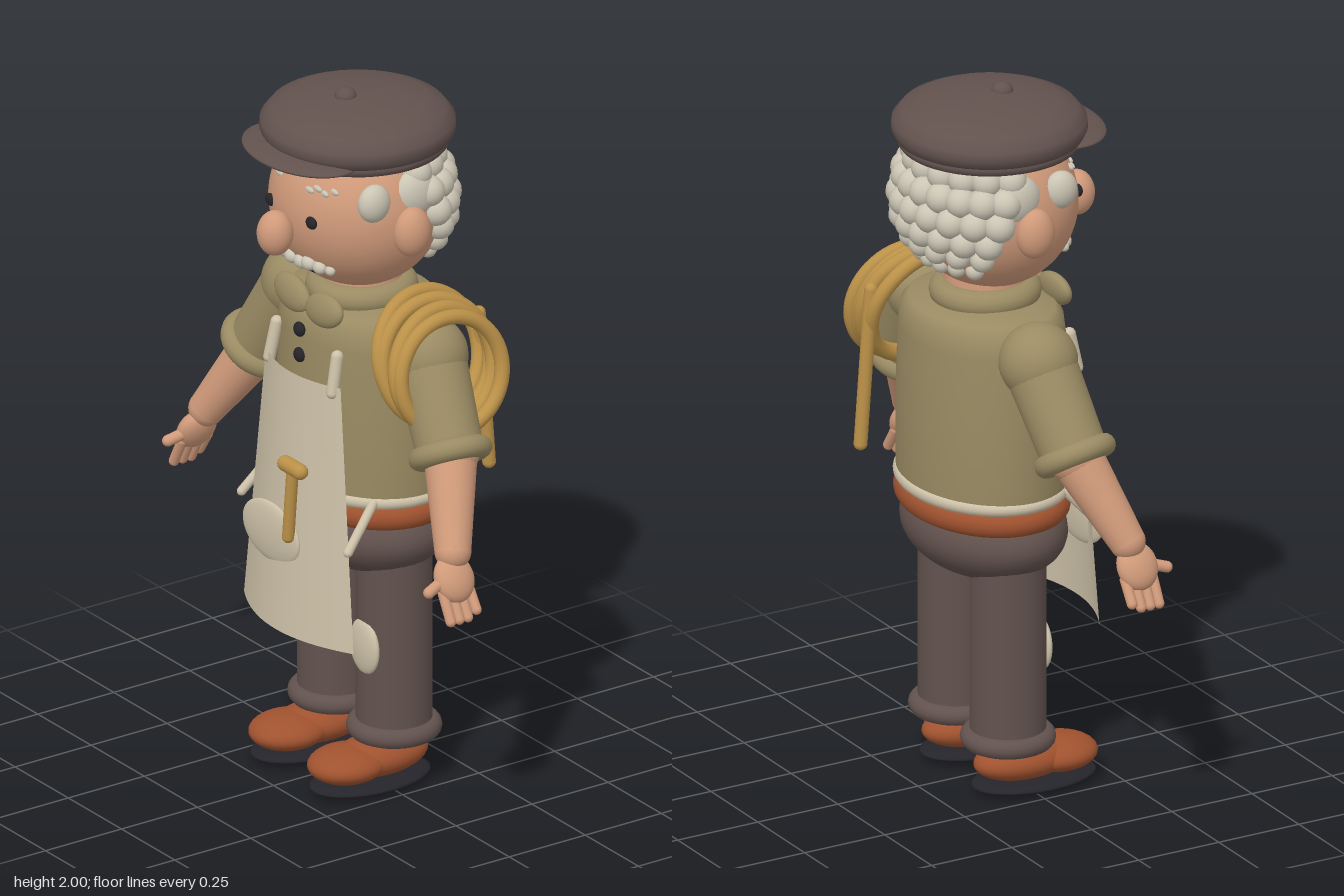
import * as THREE from 'three';

const mat = (name, color) => {
  const m = new THREE.MeshStandardMaterial({ color });
  m.name = name;
  return m;
};
const skin = mat('skin', 0xd09a7a), olive = mat('oliveShirt', 0x9a8b63), brown = mat('darkBrownCloth', 0x62524e),
  cream = mat('creamCloth', 0xcdc1a8), hair = mat('greyHair', 0xcbc5b4), leather = mat('leather', 0xa0522f),
  rope = mat('rope', 0xbb9148), dark = mat('dark', 0x25242a), sheet = mat('apronCloth', 0xcdc1a8);
sheet.side = THREE.DoubleSide;

const V = (x, y, z) => new THREE.Vector3(x, y, z);

export function createModel() {
  const root = new THREE.Group();
  root.name = 'craftsman';

  function add(name, geo, material, p = [0, 0, 0], parent = root) {
    const m = new THREE.Mesh(geo, material);
    m.name = name;
    m.position.set(...p);
    parent.add(m);
    return m;
  }
  // ellipsoid with centre and half sizes
  function ball(name, material, p, r, seg = 28) {
    const m = add(name, new THREE.SphereGeometry(1, seg, Math.ceil(seg * 0.7)), material, p);
    m.scale.set(...r);
    return m;
  }
  // horizontal ring, z radius scaled by sz
  function ring(name, material, p, r, tube, sz = 1) {
    const g = new THREE.TorusGeometry(r, tube, 14, 48).rotateX(Math.PI / 2).scale(1, 1, sz);
    return add(name, g, material, p);
  }
  // rounded rod, or tapered limb when r2 is given, between two points
  function rod(name, material, a, b, r, r2) {
    const A = V(...a), B = V(...b), d = B.clone().sub(A), len = d.length();
    const g = r2 === undefined ? new THREE.CapsuleGeometry(r, len, 8, 16)
      : new THREE.CylinderGeometry(r2, r, len, 28);
    const m = add(name, g, material, A.add(B).multiplyScalar(0.5).toArray());
    m.quaternion.setFromUnitVectors(V(0, 1, 0), d.normalize());
    return m;
  }
  function lathe(name, material, pts, p, sz = 1) {
    const g = new THREE.LatheGeometry(pts.map(q => new THREE.Vector2(...q)), 48);
    return add(name, g.scale(1, 1, sz), material, p);
  }

  // trunk
  lathe('torso', olive, [[0.265, 0.8], [0.277, 0.88], [0.277, 1.1], [0.27, 1.3], [0.262, 1.355],
    [0.235, 1.382], [0.14, 1.4], [0, 1.405]], [0, 0, -0.05], 0.78);
  ball('hips', brown, [0, 0.735, -0.045], [0.28, 0.14, 0.207], 36);
  ring('belt', leather, [0, 0.82, -0.05], 0.25, 0.038, 0.77);
  ring('apronWaistTie', cream, [0, 0.868, -0.05], 0.265, 0.019, 0.79);
  add('neck', new THREE.CylinderGeometry(0.11, 0.12, 0.12, 28), skin, [0, 1.42, -0.04]);
  ring('collar', olive, [0, 1.41, -0.04], 0.115, 0.038);
  for (const y of [1.325, 1.25]) ball('shirtButton', dark, [0, y, 0.165], [0.021, 0.021, 0.014], 16);

  // head and face
  const hc = [0, 1.67, -0.025], hr = [0.25, 0.24, 0.235];
  ball('head', skin, hc, hr, 48);
  ball('nose', skin, [0, 1.63, 0.245], [0.05, 0.064, 0.05]);
  // z of the face surface at x, y
  const faceZ = (x, y) => hc[2] + hr[2] * Math.sqrt(1 - (x / hr[0]) ** 2 - ((y - hc[1]) / hr[1]) ** 2);
  const mouth = new THREE.CatmullRomCurve3([-0.055, -0.025, 0, 0.025, 0.055].map(x => V(x, 1.508, faceZ(x, 1.508))));
  add('mouth', new THREE.TubeGeometry(mouth, 16, 0.006, 8), dark);
  for (const s of [-1, 1]) {
    ball('ear', skin, [s * 0.25, 1.655, -0.03], [0.045, 0.071, 0.055]);
    ball('eye', dark, [s * 0.095, 1.68, faceZ(0.095, 1.68)], [0.021, 0.018, 0.012], 18);
    for (let i = 0; i < 4; i++) {
      const x = s * (0.068 + i * 0.022), y = 1.765 + (i % 2) * 0.008;
      ball('eyebrow', hair, [x, y, faceZ(x, y) - 0.002], [0.02, 0.009, 0.007], 12);
    }
    [[0.022, 1.537, 0.024], [0.055, 1.543, 0.025], [0.085, 1.537, 0.023], [0.11, 1.532, 0.017]].forEach(([x, y, r]) =>
      ball('moustache', hair, [s * x, y, faceZ(x, y) + 0.004], [r, r * 0.85, r * 0.8], 18));
    ball('sideburn', hair, [s * 0.215, 1.75, 0.07], [0.036, 0.054, 0.048], 22);
    ball('sideCurl', hair, [s * 0.21, 1.745, -0.065], [0.045, 0.07, 0.07], 22);
  }

  // curls over the back of the head: height, angle range, count, size, lift
  [[1.80, 1.3, 9, 0.043, 1.0], [1.745, 1.2, 10, 0.044, 1.0], [1.685, 1.12, 9, 0.044, 1.0],
    [1.63, 1.0, 8, 0.041, 1.0], [1.58, 0.92, 7, 0.034, 0.99], [1.535, 0.8, 7, 0.026, 0.97]].forEach(([y, range, n, r, lift]) => {
    const k = Math.sqrt(1 - ((y - hc[1]) / hr[1]) ** 2) * lift;
    for (let i = 0; i < n; i++) {
      const a = -range + 2 * range * i / (n - 1);
      ball('hairCurl', hair, [Math.sin(a) * hr[0] * k, y, hc[2] - Math.cos(a) * hr[2] * k], [r, r, r], 16);
    }
  });

  // cap
  lathe('cap', brown, [[0, 1.845], [0.235, 1.846], [0.255, 1.857], [0.266, 1.88], [0.264, 1.905], [0.24, 1.935],
    [0.19, 1.957], [0.1, 1.973], [0, 1.978]], [0, 0, -0.027]);
  ring('capBand', brown, [0, 1.848, -0.027], 0.23, 0.02);
  ball('capBrim', brown, [0, 1.853, 0.155], [0.205, 0.022, 0.14], 36);
  ball('capButton', brown, [0, 1.975, 0.013], [0.03, 0.025, 0.03], 18);

  // apron: wider towards the hem, bowed forward in the middle
  const ag = new THREE.PlaneGeometry(2, 1, 20, 16), ap = ag.attributes.position;
  const apronZ = (u, t) => 0.198 + 0.045 * t - (0.046 + 0.03 * t) * u * u;
  for (let i = 0; i < ap.count; i++) {
    const u = ap.getX(i), t = 0.5 - ap.getY(i);
    ap.setXYZ(i, u * (0.175 + 0.082 * t), 1.21 - 0.75 * t, apronZ(u, t));
  }
  ag.computeVertexNormals();
  add('apron', ag, sheet);
  ball('apronPocket', cream, [-0.05, 0.725, 0.222], [0.132, 0.086, 0.018], 36);
  rod('hammerHandle', rope, [0.052, 0.75, 0.238], [0.072, 0.95, 0.238], 0.017);
  rod('hammerHead', rope, [0.038, 0.962, 0.238], [0.108, 0.962, 0.238], 0.022);

  for (const s of [-1, 1]) {
    rod('apronStrap', cream, [s * 0.148, 1.19, 0.16], [s * 0.142, 1.29, 0.14], 0.017);
    rod('apronTie', cream, [s * 0.225, 0.87, 0.08], [s * 0.25, 0.76, 0.18], 0.013);
    const flap = ball('collarFlap', olive, [s * 0.075, 1.4, 0.135], [0.08, 0.047, 0.026]);
    flap.rotation.set(-0.2, 0, s * 0.15);

    // leg and shoe
    const x = s * 0.138;
    add('trouserLeg', new THREE.CylinderGeometry(0.104, 0.104, 0.57, 36), brown, [x, 0.425, -0.05]);
    ring('trouserCuff', brown, [x, 0.157, -0.05], 0.102, 0.028);
    ball('kneePatch', cream, [x, 0.41, 0.047], [0.064, 0.08, 0.02]);
    ball('shoe', leather, [x, 0.083, 0.0], [0.088, 0.055, 0.15]);
    ball('shoeToe', leather, [x, 0.08, 0.105], [0.1, 0.048, 0.112]);
    ball('sole', dark, [x, 0.022, 0.03], [0.112, 0.022, 0.185]);

    // arm
    const sh = [s * 0.3, 1.305, -0.05], el = [s * 0.445, 1.075, -0.02], wr = [s * 0.578, 0.855, 0.065];
    ball('shoulder', olive, sh, [0.108, 0.108, 0.108]);
    rod('sleeve', olive, sh, el, 0.1, 0.092);
    const cuff = add('sleeveCuff', new THREE.TorusGeometry(0.085, 0.031, 14, 40), olive, el);
    cuff.quaternion.setFromUnitVectors(V(0, 0, 1), V(...el).sub(V(...sh)).normalize());
    ball('elbow', skin, el, [0.078, 0.078, 0.078]);
    rod('forearm', skin, el, wr, 0.074, 0.05);
    ball('wrist', skin, wr, [0.05, 0.05, 0.05]);

    // hand
    const palm = ball('palm', skin, [s * 0.605, 0.79, 0.08], [0.036, 0.068, 0.06]);
    palm.rotation.z = s * 0.5;
    for (let i = 0; i < 4; i++) {
      const z = 0.038 + i * 0.028, tip = 0.688 + (i === 0 ? 0.015 : 0);
      rod('finger', skin, [s * 0.612, 0.76, z], [s * 0.65, tip, z], 0.0145);
    }
    rod('thumb', skin, [s * 0.6, 0.79, 0.11], [s * 0.613, 0.772, 0.168], 0.016);
  }

  // rope coil over the left shoulder, with a hanging end
  [[0.258, 0.33, 0.1], [0.293, 0.28, -0.06], [0.33, 0.23, 0.05], [0.365, 0.18, -0.05]].forEach(([x, tilt, turn], i) => {
    const loop = add('ropeLoop', new THREE.TorusGeometry(0.172 - i * 0.004, 0.021, 12, 56), rope,
      [x, 1.285 - i * 0.008, -0.08]);
    loop.rotation.set(0, Math.PI / 2 + turn, tilt, 'ZYX');
  });
  rod('ropeEnd', rope, [0.25, 1.36, -0.25], [0.255, 0.915, -0.28], 0.019);

  return root;
}
